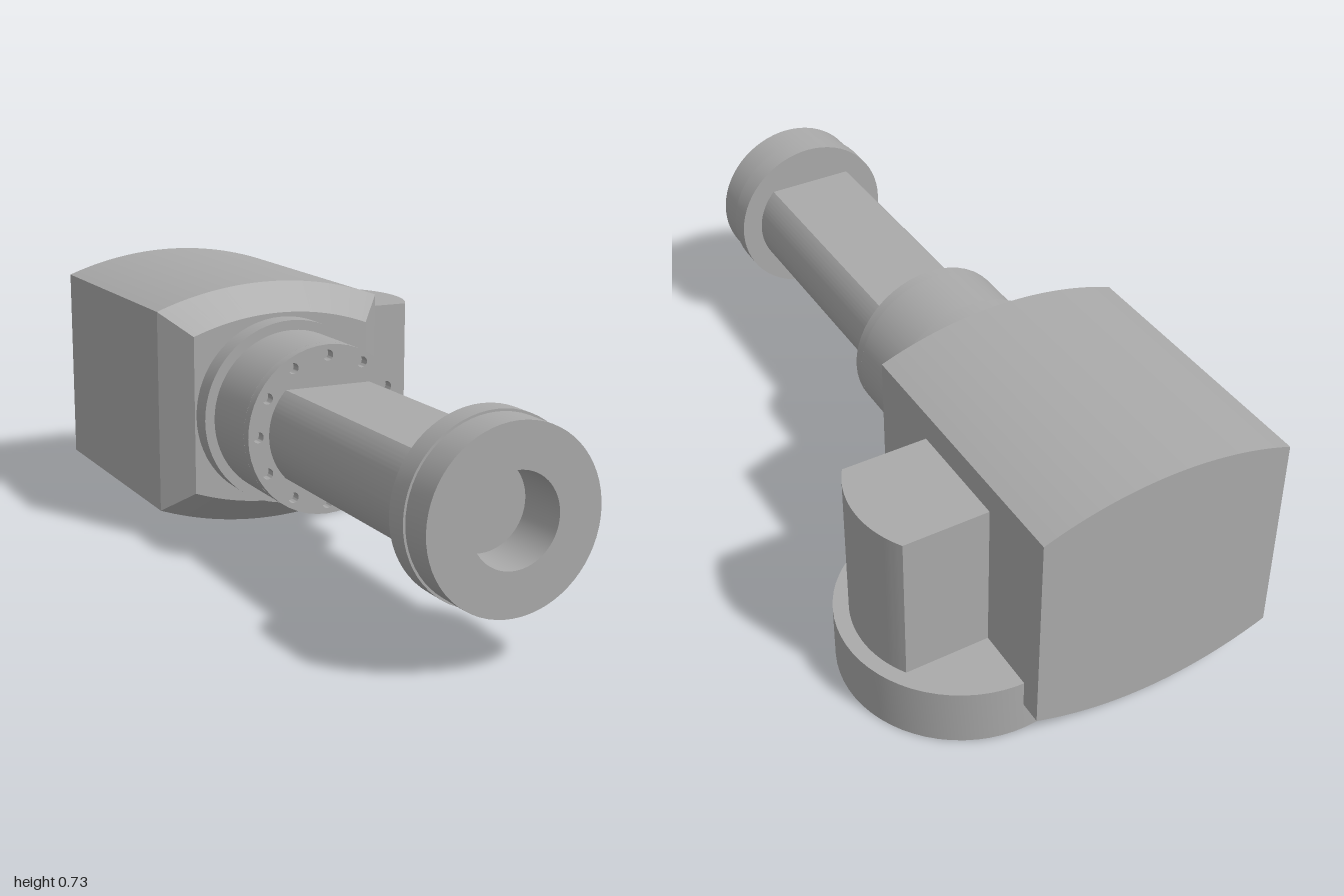
import * as THREE from 'three';
import { toCreasedNormals } from 'three/addons/utils/BufferGeometryUtils.js';

export function createModel() {
  const model = new THREE.Group();
  const grey = new THREE.MeshStandardMaterial({ color: 0xaaaaaa });
  grey.name = 'machined grey';

  // Local frame: z runs along the arm, x across it
  const assembly = new THREE.Group();
  assembly.name = 'assembly';
  assembly.rotation.y = THREE.MathUtils.degToRad(39);
  model.add(assembly);

  const AXIS_X = 0.01, AXIS_Y = 0.373;
  const add = (name, geometry, x, y, z) => {
    const mesh = new THREE.Mesh(toCreasedNormals(geometry, 0.4), grey);
    mesh.name = name;
    mesh.position.set(x, y, z);
    assembly.add(mesh);
  };
  const extrude = (shape, depth, steps = 1) =>
    new THREE.ExtrudeGeometry(shape, { depth, steps, bevelEnabled: false, curveSegments: 24 });
  const lathe = (points) =>
    new THREE.LatheGeometry(points.map(([r, h]) => new THREE.Vector2(r, h)), 64);
  // Circle cut flat on two opposite sides
  const flattenedCircle = (r, halfFlat) => {
    const a = Math.asin(halfFlat / r);
    const shape = new THREE.Shape();
    shape.absarc(0, 0, r, -a, a, false);
    shape.absarc(0, 0, r, Math.PI - a, Math.PI + a, false);
    shape.closePath();
    return shape;
  };

  // Body: crowned top and bottom, chamfered around the front face
  const halfW = 0.344, edgeY = 0.288, crownY = 0.351;
  const rise = crownY - edgeY;
  const R = (halfW * halfW + rise * rise) / (2 * rise);
  const a = Math.asin(halfW / R);
  const section = new THREE.Shape();
  section.absarc(0, crownY - R, R, Math.PI / 2 - a, Math.PI / 2 + a, false);
  section.absarc(0, R - crownY, R, -Math.PI / 2 - a, -Math.PI / 2 + a, false);
  section.closePath();
  const body = extrude(section, 2, 2);
  const p = body.attributes.position;
  const stations = [[-0.974, 1], [-0.208, 1], [-0.124, 0.781]];
  for (let i = 0; i < p.count; i++) {
    const [z, s] = stations[Math.round(p.getZ(i))];
    p.setXYZ(i, p.getX(i) * s, p.getY(i) * s, z);
  }
  add('body', body, AXIS_X, 0.375, 0);

  // Stepped collar and housing on the front of the body
  const collar = lathe([[0, -0.13], [0.264, -0.13], [0.264, -0.061], [0.236, -0.061], [0.236, 0.138], [0, 0.138]]);
  add('housing', collar.rotateX(Math.PI / 2), AXIS_X, AXIS_Y, 0);

  // Face plate with a ring of bolt holes
  const plate = new THREE.Shape().absarc(0, 0, 0.236, 0, Math.PI * 2, false);
  for (let i = 0; i < 12; i++) {
    const t = (i * Math.PI) / 6;
    plate.holes.push(new THREE.Path().absarc(0.206 * Math.cos(t), 0.206 * Math.sin(t), 0.015, 0, Math.PI * 2, true));
  }
  add('boltPlate', extrude(plate, 0.03), AXIS_X, AXIS_Y, 0.138);

  // Arm with flat top and bottom
  add('arm', extrude(flattenedCircle(0.175, 0.122), 0.79), AXIS_X, AXIS_Y, 0.16);

  // End flange with a blind bore
  const flange = lathe([[0, 0.941], [0.236, 0.941], [0.236, 1.005], [0.23, 1.005],
    [0.23, 1.096], [0.117, 1.096], [0.117, 0.955], [0, 0.955]]);
  add('endFlange', flange.rotateX(Math.PI / 2), AXIS_X, AXIS_Y, 0);

  // Base disc with a blind bore underneath, and its column
  const base = lathe([[0, 0.14], [0.114, 0.14], [0.114, 0], [0.325, 0], [0.325, 0.163], [0, 0.163]]);
  add('baseDisc', base, 0.345, 0, -0.589);
  const column = extrude(flattenedCircle(0.284, 0.153), 0.425).rotateX(-Math.PI / 2);
  add('column', column, 0.345, 0.16, -0.589);

  return model;
}
